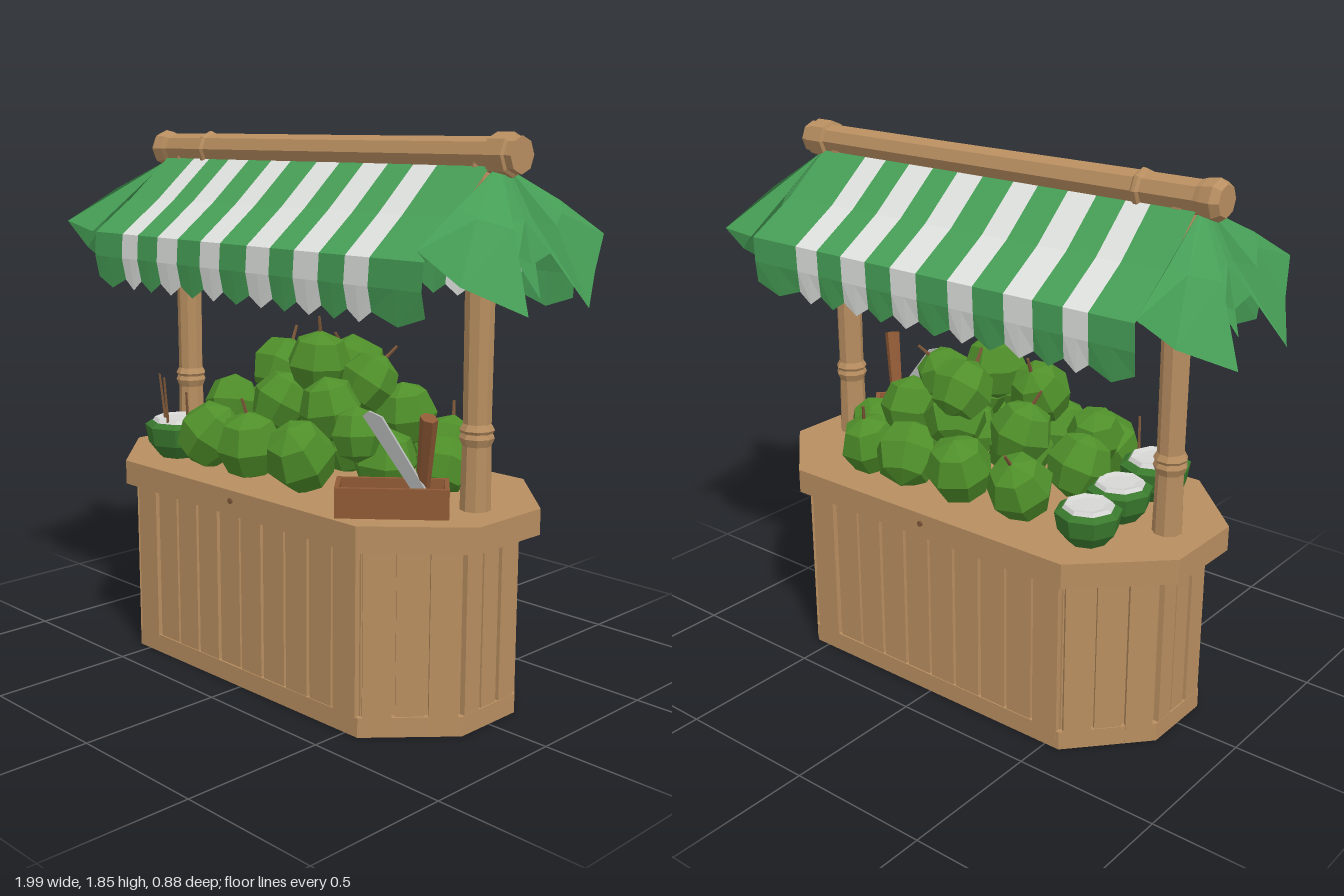
import * as THREE from 'three';

const mat = (name, color, side = THREE.FrontSide) => {
  const m = new THREE.MeshStandardMaterial({ color, side });
  m.name = name;
  return m;
};
const V = (x, y, z) => new THREE.Vector3(x, y, z);

// faceted normals for the low-poly look
function flat(geo) {
  const g = geo.index ? geo.toNonIndexed() : geo;
  g.computeVertexNormals();
  return g;
}

// sheet through rows of points
function sheet(rows) {
  const n = rows[0].length, idx = [];
  for (let r = 0; r < rows.length - 1; r++)
    for (let c = 0; c < n - 1; c++) {
      const a = r * n + c;
      idx.push(a, a + n, a + 1, a + 1, a + n, a + n + 1);
    }
  const g = new THREE.BufferGeometry().setFromPoints(rows.flat());
  g.setIndex(idx);
  return flat(g);
}

// octagonal outline of the counter as [x, z] corners
const octagon = (w, d, cx, cz) =>
  [[cx, d], [w, cz], [w, -cz], [cx, -d], [-cx, -d], [-w, -cz], [-w, cz], [-cx, d]];

function octagonSlab(corners, y0, h) {
  const shape = new THREE.Shape(corners.map(([x, z]) => new THREE.Vector2(x, -z)));
  const g = new THREE.ExtrudeGeometry(shape, { depth: h, bevelEnabled: false });
  g.rotateX(-Math.PI / 2).translate(0, y0, 0);
  return flat(g);
}

export function createModel() {
  const wood = mat('wood', 0xb88e60);
  const crateWood = mat('crate wood', 0x8f5a36);
  const cloth = mat('green cloth', 0x47a057, THREE.DoubleSide);
  const whiteCloth = mat('white cloth', 0xdfe2df, THREE.DoubleSide);
  const nutGreen = mat('coconut green', 0x4f8f2a);
  const shell = mat('cut shell green', 0x3a7a2e);
  const flesh = mat('coconut flesh', 0xd6d6d4);
  const steel = mat('steel', 0xb4b6b6, THREE.DoubleSide);
  const twig = mat('twig', 0x7d5738);

  const root = new THREE.Group();
  root.name = 'marketStall';
  const add = (name, geo, material, parent = root) => {
    const m = new THREE.Mesh(geo, material);
    m.name = name;
    parent.add(m);
    return m;
  };
  const group = (name) => {
    const g = new THREE.Group();
    g.name = name;
    root.add(g);
    return g;
  };
  // tapered rod between two points
  const rod = (name, a, b, r0, r1, sides, material, parent) => {
    const d = b.clone().sub(a);
    const m = add(name, flat(new THREE.CylinderGeometry(r1, r0, d.length(), sides)), material, parent);
    m.position.copy(a).lerp(b, 0.5);
    m.quaternion.setFromUnitVectors(V(0, 1, 0), d.normalize());
    return m;
  };
  let seed = 7;
  const rnd = () => (seed = (seed * 16807) % 2147483647) / 2147483647;

  // counter: core, rails, planks and worktop
  const counter = group('counter');
  add('counterCore', octagonSlab(octagon(0.755, 0.355, 0.55, 0.125), 0, 0.62), wood, counter);
  add('baseRail', octagonSlab(octagon(0.775, 0.373, 0.555, 0.13), 0, 0.065), wood, counter);
  add('worktop', octagonSlab(octagon(0.84, 0.405, 0.575, 0.15), 0.61, 0.085), wood, counter);
  const ring = octagon(0.757, 0.357, 0.55, 0.125);
  ring.forEach(([x0, z0], i) => {
    const [x1, z1] = ring[(i + 1) % 8];
    const len = Math.hypot(x1 - x0, z1 - z0);
    const n = len > 0.8 ? 10 : 3;
    const angle = Math.atan2(-(z1 - z0), x1 - x0);
    for (let k = 0; k < n; k++) {
      const t = (k + 0.5) / n;
      const edge = k === 0 || k === n - 1;
      const h = edge ? 0.61 : 0.55;
      const depth = edge ? 0.034 : 0.018 + 0.01 * rnd();
      const p = add('plank', new THREE.BoxGeometry(len / n - 0.012, h, depth), wood, counter);
      p.position.set(x0 + (x1 - x0) * t, 0.615 - h / 2, z0 + (z1 - z0) * t);
      p.rotation.y = angle;
    }
  });
  for (const s of [1, -1]) {
    const peg = add('peg', new THREE.CylinderGeometry(0.01, 0.01, 0.012, 6), twig, counter);
    peg.rotation.x = Math.PI / 2;
    peg.position.set(0, 0.66, s * 0.406);
  }

  // posts with bamboo joints
  const post = [[0.05, 0.69], [0.046, 0.9], [0.056, 0.925], [0.05, 0.94], [0.056, 0.95],
    [0.045, 0.97], [0.047, 1.4], [0.044, 1.77]].map(([r, y]) => new THREE.Vector2(r, y));
  for (const s of [1, -1])
    add('post', flat(new THREE.LatheGeometry(post, 9)), wood).position.x = s * 0.7;

  // ridge beam with collars
  const beam = [[0, -0.845], [0.05, -0.845], [0.066, -0.82], [0.06, -0.78], [0.054, -0.76], [0.054, -0.575],
    [0.063, -0.567], [0.063, -0.555], [0.055, -0.545], [0.053, 0.2], [0.053, 0.745], [0.066, 0.75],
    [0.066, 0.815], [0.056, 0.82], [0.056, 0.845], [0, 0.845]].map(([r, y]) => new THREE.Vector2(r, y));
  const ridge = add('ridgeBeam', flat(new THREE.LatheGeometry(beam, 8)), wood);
  ridge.rotation.z = -Math.PI / 2;
  ridge.position.y = 1.785;

  // striped awning, both slopes with pointed valance
  const awning = group('awning');
  const stops = [-0.79, -0.63, -0.54, -0.43, -0.32, -0.2, -0.1, 0.03, 0.14, 0.25, 0.36, 0.47, 0.57, 0.78];
  for (const s of [1, -1])
    for (let i = 0; i < stops.length - 1; i++) {
      const a = stops[i], b = stops[i + 1];
      const xs = [a, (a + b) / 2, b];
      const row = (y, z, shift, k = 1) => xs.map((x) => V(x * k + shift, y, s * z));
      const hem = xs.map((x, j) => V(x + 0.01, j === 1 ? 1.3 : 1.335, s * 0.35));
      add('awningStripe', sheet([row(1.755, 0.035, 0, 0.97), row(1.61, 0.2, 0, 0.985),
        row(1.495, 0.36, 0.01), row(1.41, 0.362, 0.005), hem]), i % 2 ? whiteCloth : cloth, awning);
    }

  // draped end flaps
  for (const sx of [1, -1])
    for (const sz of [1, -1]) {
      const P = (x, y, z) => V(sx * x, y, sz * z);
      const top = [P(0.77, 1.745, 0.03), P(0.77, 1.745, 0.025), P(0.78, 1.745, 0.015), P(0.79, 1.745, 0.01), P(0.79, 1.745, 0)];
      const mid = [P(0.81, 1.645, 0.24), P(0.845, 1.61, 0.2), P(0.9, 1.58, 0.1), P(0.85, 1.6, 0.05), P(0.86, 1.6, 0)];
      const low = [P(0.835, 1.535, 0.44), P(0.89, 1.43, 0.32), P(0.995, 1.34, 0.145), P(0.9, 1.5, 0.075), P(0.89, 1.47, 0)];
      add('endFlap', sheet([top, mid, low]), cloth, awning);
      add('flapCorner', sheet([[top[0], P(0.77, 1.74, 0.04)], [low[0], P(0.8, 1.495, 0.36)]]), cloth, awning);
      add('innerFlapPoint', sheet([[P(0.8, 1.6, 0.02), P(0.8, 1.6, 0.1)],
        [P(0.84, 1.46, 0.01), P(0.87, 1.36, 0.075)]]), cloth, awning);
    }

  // coconut pile: x, y, z, radius
  const pile = group('coconutPile');
  const nuts = [
    [-0.3, 0.81, 0.24, 0.118], [-0.08, 0.81, 0.25, 0.118], [0.16, 0.81, 0.24, 0.122], [0.37, 0.8, 0.06, 0.112],
    [-0.28, 0.81, -0.23, 0.115], [-0.03, 0.81, -0.24, 0.118], [0.19, 0.81, -0.25, 0.118], [0.37, 0.8, -0.25, 0.108],
    [-0.35, 0.83, 0.0, 0.115], [-0.1, 0.83, 0, 0.12], [0.14, 0.83, 0, 0.12], [0.5, 0.79, -0.08, 0.1],
    [-0.34, 0.9, 0.1, 0.1], [-0.19, 0.94, -0.11, 0.11], [0.06, 0.95, -0.15, 0.112], [0.29, 0.92, -0.12, 0.11],
    [-0.05, 0.95, 0.13, 0.105], [0.17, 0.95, 0.11, 0.11], [0.34, 0.9, 0.16, 0.09],
    [-0.17, 1.04, 0.02, 0.108], [0.04, 1.08, 0.04, 0.113], [0.21, 1.03, -0.03, 0.1], [0.03, 1.05, -0.15, 0.108]];
  nuts.forEach(([x, y, z, r], i) => {
    const nut = group('coconut');
    pile.add(nut);
    const body = new THREE.SphereGeometry(r, 7, 4).scale(1, 1.02, 1);
    add('husk', flat(body), nutGreen, nut);
    if (i % 3 === 1 || i > 18) rod('stem', V(0, r * 0.9, 0), V(0.012, r + 0.05, 0), 0.007, 0.005, 5, twig, nut);
    nut.position.set(x, y, z);
    nut.rotation.set(rnd() * 1.2 - 0.6, rnd() * 6, rnd() * 1.2 - 0.6);
  });

  // opened coconuts
  const bowl = [[0, 0], [0.07, 0], [0.11, 0.05], [0.122, 0.115], [0.1, 0.13], [0, 0.13]]
    .map(([r, y]) => new THREE.Vector2(r, y));
  const pulp = [[0.098, 0.125], [0.085, 0.143], [0.06, 0.138], [0, 0.138]].map(([r, y]) => new THREE.Vector2(r, y));
  [[-0.515, 0.21], [-0.52, -0.01], [-0.54, -0.215]].forEach(([x, z], i) => {
    const cut = group('openCoconut');
    cut.position.set(x, 0.694, z);
    cut.scale.setScalar(i ? 0.9 : 1);
    add('shell', flat(new THREE.LatheGeometry(bowl, 8)), shell, cut);
    add('flesh', flat(new THREE.LatheGeometry(pulp, 8)), flesh, cut);
    if (i === 0)
      for (const [sx, sz, h] of [[-0.035, 0.03, 0.3], [0.03, 0.07, 0.3], [0.08, 0.02, 0.25]])
        rod('straw', V(sx, 0.1, sz), V(sx * 1.2, h, sz + 0.02), 0.006, 0.004, 5, twig, cut);
  });

  // open crate
  const crate = group('crate');
  crate.position.set(0.55, 0.695, 0.22);
  crate.rotation.y = 0.73;
  const wall = (w, h, d, x, y, z) =>
    add('crateBoard', new THREE.BoxGeometry(w, h, d), crateWood, crate).position.set(x, y, z);
  wall(0.35, 0.03, 0.14, 0, 0.015, 0);
  for (const s of [1, -1]) {
    wall(0.35, 0.095, 0.015, 0, 0.0475, s * 0.066);
    wall(0.015, 0.095, 0.125, s * 0.168, 0.0475, 0);
  }

  // wooden mallet handle and knife blade standing in the crate
  const handle = rod('handle', V(0.61, 0.73, 0.15), V(0.705, 1.02, 0.23), 0.022, 0.03, 6, crateWood);
  handle.scale.z = 0.8;
  const outline = new THREE.Shape([[-0.025, 0], [0.02, 0], [0.03, 0.26], [0.0, 0.3], [-0.03, 0.3]]
    .map(([x, y]) => new THREE.Vector2(x, y)));
  const blade = add('knifeBlade', flat(new THREE.ExtrudeGeometry(outline, { depth: 0.008, bevelEnabled: false })), steel);
  blade.position.set(0.64, 0.77, 0.18);
  blade.rotation.set(0.1, 0.15, 0.64);

  return root;
}
